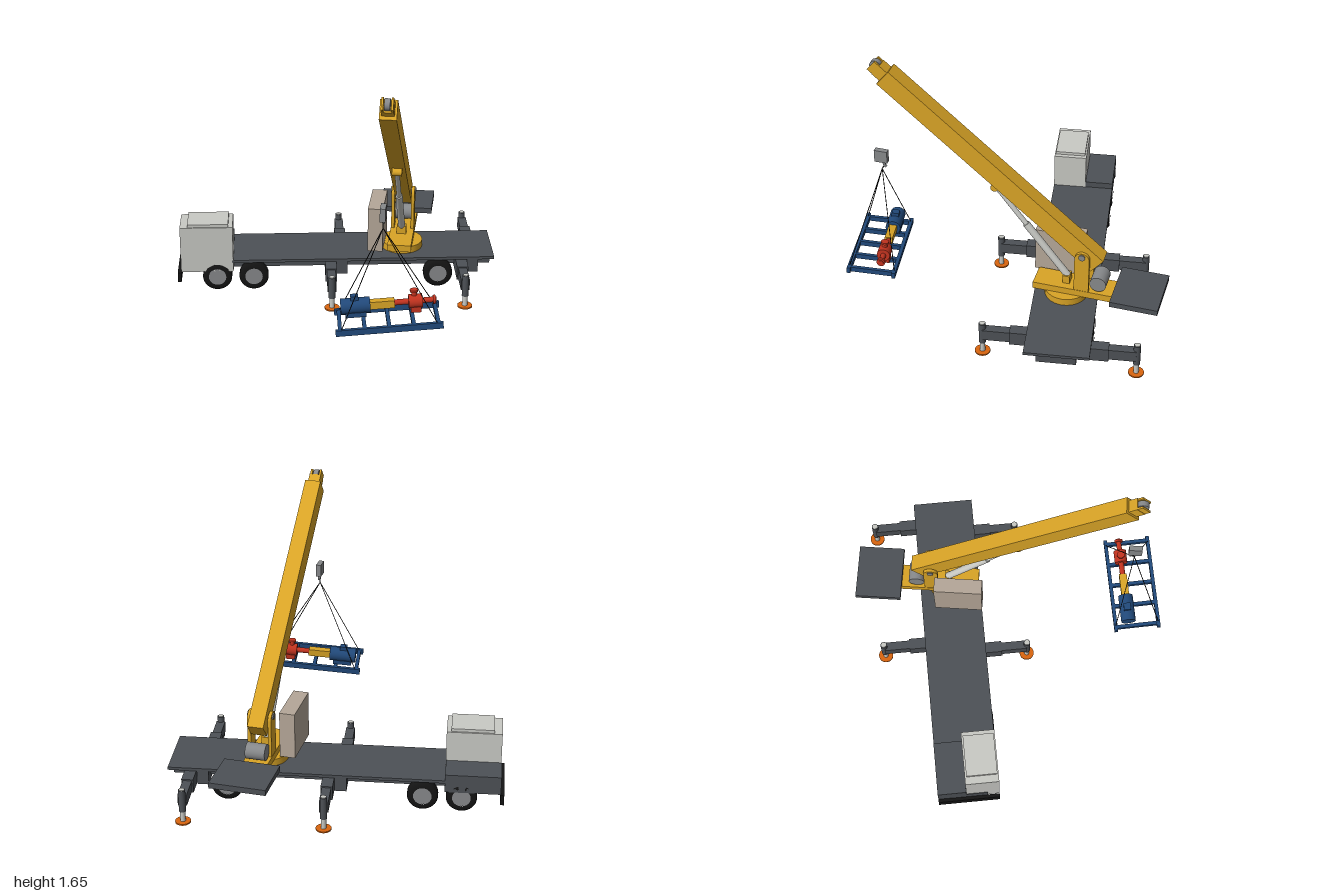
import * as THREE from 'three';

const mat = (name, color) => {
  const m = new THREE.MeshStandardMaterial({ color });
  m.name = name;
  return m;
};
const dark = mat('dark grey', 0x4d5156);
const light = mat('light grey', 0xc9cac5);
const black = mat('tyre black', 0x141414);
const grey = mat('mid grey', 0x87898b);
const yellow = mat('crane yellow', 0xd9a426);
const beige = mat('beige', 0xb5a798);
const blue = mat('blue', 0x21497a);
const red = mat('red', 0xc2331f);
const orange = mat('orange', 0xdb660f);

const V = (x, y, z) => new THREE.Vector3(x, y, z);
const rad = THREE.MathUtils.degToRad;

function add(parent, name, geo, m) {
  const mesh = new THREE.Mesh(geo, m);
  mesh.name = name;
  parent.add(mesh);
  return mesh;
}

// Box given by its lower and upper limits on each axis
function box(parent, name, m, [x0, x1], [y0, y1], [z0, z1]) {
  const mesh = add(parent, name, new THREE.BoxGeometry(x1 - x0, y1 - y0, z1 - z0), m);
  mesh.position.set((x0 + x1) / 2, (y0 + y1) / 2, (z0 + z1) / 2);
  return mesh;
}

// Round bar from point a to point b
function bar(parent, name, m, a, b, r, sides = 24, rEnd = r) {
  const d = b.clone().sub(a);
  const mesh = add(parent, name, new THREE.CylinderGeometry(rEnd, r, d.length(), sides), m);
  mesh.position.copy(a).add(b).multiplyScalar(0.5);
  mesh.quaternion.setFromUnitVectors(V(0, 1, 0), d.normalize());
  return mesh;
}

function group(parent, name) {
  const g = new THREE.Group();
  g.name = name;
  parent.add(g);
  return g;
}

const ZC = -0.36; // centre line of the truck

function buildTruck(root) {
  const truck = group(root, 'truck');
  box(truck, 'deck', dark, [-0.655, 1], [0.188, 0.206], [-0.552, -0.168]);
  box(truck, 'chassis', dark, [-0.98, 0.98], [0.127, 0.19], [-0.475, -0.24]);
  box(truck, 'cab', light, [-0.977, -0.648], [0.13, 0.435], [-0.375, -0.168]);
  box(truck, 'cabRoof', light, [-0.93, -0.675], [0.435, 0.454], [-0.365, -0.175]);
  box(truck, 'engineHood', dark, [-0.98, -0.65], [0.13, 0.245], [-0.552, -0.376]);
  box(truck, 'bumper', black, [-1, -0.978], [0.06, 0.125], [-0.552, -0.168]);

  // Axles with a wheel on each side
  const tyre = [[0.055, -0.032], [0.08, -0.032], [0.092, -0.02], [0.092, 0.02], [0.08, 0.032], [0.055, 0.032]]
    .map(([r, y]) => new THREE.Vector2(r, y));
  for (const x of [-0.75, -0.52, 0.645]) {
    bar(truck, 'axle', black, V(x, 0.093, -0.5), V(x, 0.093, -0.22), 0.018, 16);
    for (const z of [-0.52, -0.196]) {
      const wheel = group(truck, 'wheel');
      wheel.position.set(x, 0.093, z);
      wheel.rotation.x = Math.PI / 2;
      add(wheel, 'tyre', new THREE.LatheGeometry(tyre, 32), black);
      add(wheel, 'hub', new THREE.CylinderGeometry(0.057, 0.057, 0.056, 32), grey);
    }
  }

  // Outriggers, side by side, one reaching to each side
  for (const [x, s] of [[-0.035, 1], [0.037, -1], [0.79, 1], [0.863, -1]]) {
    const o = group(truck, 'outrigger');
    o.position.set(x, 0, ZC);
    if (s < 0) o.rotation.y = Math.PI;
    box(o, 'outriggerHousing', dark, [-0.035, 0.035], [0.1, 0.188], [-0.19, 0.295]);
    box(o, 'outriggerBeam', dark, [-0.027, 0.027], [0.11, 0.18], [0.28, 0.455]);
    bar(o, 'jackSleeve', dark, V(0, 0.075, 0.458), V(0, 0.215, 0.458), 0.021);
    bar(o, 'jackRod', light, V(0, 0.008, 0.458), V(0, 0.219, 0.458), 0.016);
    bar(o, 'footPad', orange, V(0, 0, 0.458), V(0, 0.009, 0.458), 0.046, 28);
  }
}

function buildCrane(root) {
  bar(root, 'turntable', yellow, V(0.427, 0.2, ZC), V(0.427, 0.25, ZC), 0.13, 40);
  const crane = group(root, 'crane');
  crane.position.set(0.425, 0, ZC);
  crane.rotation.y = rad(-9);
  box(crane, 'slewPlatform', yellow, [-0.075, 0.075], [0.248, 0.292], [-0.4, 0.19]);
  box(crane, 'counterweight', dark, [-0.17, 0.17], [0.295, 0.33], [-0.59, -0.302]);
  box(crane, 'powerCabinet', beige, [-0.195, -0.101], [0.26, 0.55], [-0.077, 0.224]);

  // Winch behind the boom foot
  bar(crane, 'winchDrum', grey, V(-0.06, 0.35, -0.205), V(0.06, 0.35, -0.205), 0.05, 28);

  // Boom brackets with rounded tops
  const plate = new THREE.Shape();
  plate.moveTo(-0.045, 0.29).lineTo(0.045, 0.29).lineTo(0.045, 0.525);
  plate.absarc(0, 0.525, 0.045, 0, Math.PI, false);
  const plateGeo = new THREE.ExtrudeGeometry(plate, { depth: 0.02, bevelEnabled: false, curveSegments: 12 });
  for (const x of [-0.073, 0.053]) {
    const p = add(crane, 'boomBracket', plateGeo, yellow);
    p.position.set(x, 0, -0.107);
    p.rotation.y = Math.PI / 2;
  }
  bar(crane, 'pivotPin', grey, V(-0.08, 0.543, -0.107), V(0.08, 0.543, -0.107), 0.02);

  // Boom with extending section and head sheave
  const boom = group(crane, 'boom');
  boom.position.set(0, 0.477, -0.193);
  boom.rotation.x = rad(-40);
  box(boom, 'boomOuterSection', yellow, [-0.049, 0.049], [-0.059, 0.059], [0, 1.676]);
  box(boom, 'boomInnerSection', yellow, [-0.036, 0.036], [-0.038, 0.04], [1.6, 1.735]);
  for (const s of [-1, 1])
    box(boom, 'headPlate', yellow, [s * 0.028 - 0.006, s * 0.028 + 0.006], [-0.036, 0.038], [1.73, 1.772]);
  bar(boom, 'headSheave', grey, V(-0.016, 0.004, 1.75), V(0.016, 0.004, 1.75), 0.034);

  // Luffing cylinder
  const a = V(0, 0.335, -0.005), b = V(0, 0.903, 0.44);
  bar(crane, 'liftBarrel', light, a, a.clone().lerp(b, 0.58), 0.022);
  bar(crane, 'liftRod', light, a, b, 0.015);
  bar(crane, 'liftUpperLug', yellow, V(-0.03, b.y, b.z), V(0.03, b.y, b.z), 0.023);
  box(crane, 'liftLowerLug', yellow, [-0.03, 0.03], [0.29, 0.345], [-0.025, 0.018]);
}

function buildLoad(root) {
  // Hook block
  const hook = group(root, 'hookBlock');
  hook.position.set(0.23, 0.965, 0.775);
  hook.rotation.y = rad(-9);
  box(hook, 'hookHousing', grey, [-0.016, 0.016], [-0.04, 0.04], [-0.04, 0.04]);
  const curve = new THREE.CatmullRomCurve3([V(0, -0.035, 0.005), V(0, -0.048, -0.015), V(0, -0.066, -0.018), V(0, -0.072, -0.03)]);
  add(hook, 'hook', new THREE.TubeGeometry(curve, 12, 0.009, 8), grey);

  // Skid frame, hanging slightly tilted
  const skid = group(root, 'pumpSkid');
  skid.position.set(0.263, 0.315, 0.805);
  skid.rotation.set(rad(-3), 0, rad(4));
  for (const z of [-0.136, 0.136])
    box(skid, 'skidRail', blue, [-0.304, 0.304], [-0.018, 0.018], [z - 0.011, z + 0.011]);
  for (let i = -2; i <= 2; i++)
    box(skid, 'skidCrossMember', blue, [i * 0.139 - 0.011, i * 0.139 + 0.011], [-0.015, 0.015], [-0.13, 0.13]);

  // Motor, coupling guard and pump on one shaft line
  const P = x => V(x, 0.07, -0.055);
  const z = -0.055;
  bar(skid, 'motor', blue, P(-0.265), P(-0.095), 0.046, 28);
  box(skid, 'terminalBox', blue, [-0.205, -0.16], [0.1, 0.135], [z - 0.022, z + 0.022]);
  box(skid, 'motorFoot', blue, [-0.24, -0.12], [0.012, 0.04], [z - 0.038, z + 0.038]);
  box(skid, 'couplingGuard', yellow, [-0.095, 0.045], [0.047, 0.092], [z - 0.024, z + 0.024]);
  bar(skid, 'pumpShaft', red, P(0.04), P(0.13), 0.017);
  bar(skid, 'pumpBody', red, P(0.125), P(0.205), 0.04, 28);
  box(skid, 'pumpFoot', red, [0.135, 0.195], [0.012, 0.045], [z - 0.035, z + 0.035]);
  bar(skid, 'pumpOutlet', red, V(0.16, 0.09, z), V(0.16, 0.142, z), 0.016);
  bar(skid, 'outletFlange', red, V(0.16, 0.13, z), V(0.16, 0.142, z), 0.024);
  bar(skid, 'pumpInlet', red, P(0.2), P(0.285), 0.016);
  bar(skid, 'inletFlange', red, P(0.265), P(0.28), 0.026);

  // Slings from the hook to the skid corners
  skid.updateMatrix();
  const apex = V(0.23, 0.87, 0.775);
  bar(root, 'slingLink', black, V(0.23, 0.895, 0.762), apex, 0.003, 6);
  for (const sx of [-0.27, 0.27])
    for (const sz of [-0.136, 0.136])
      bar(root, 'sling', black, apex, V(sx, 0.015, sz).applyMatrix4(skid.matrix), 0.0025, 6);
}

export function createModel() {
  const root = new THREE.Group();
  root.name = 'truckCrane';
  buildTruck(root);
  buildCrane(root);
  buildLoad(root);
  return root;
}
